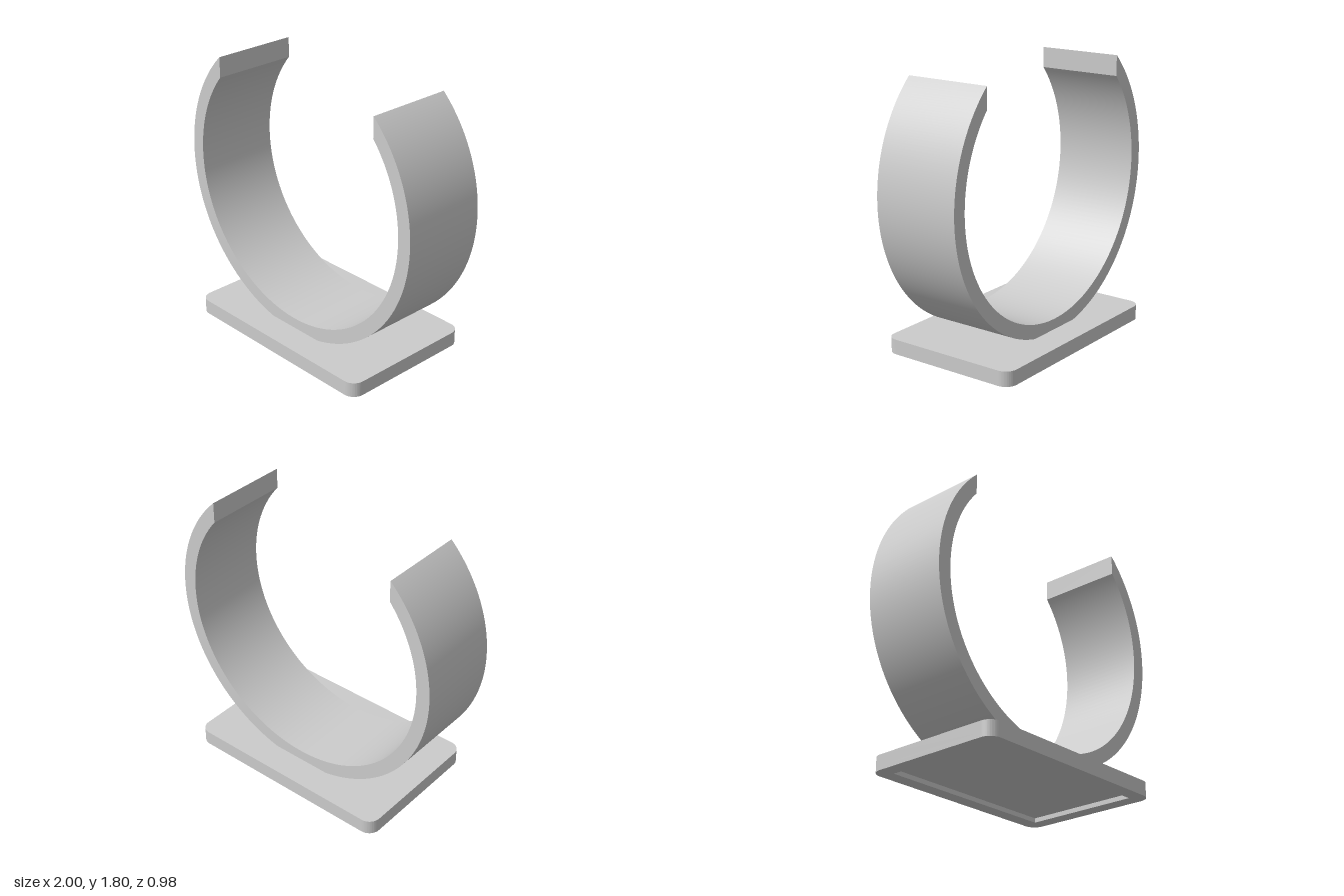
import * as THREE from 'three';
import { toCreasedNormals } from 'three/addons/utils/BufferGeometryUtils.js';

const material = new THREE.MeshStandardMaterial({ color: 0xcccccc });

function extruded(name, shape, depth) {
  const geometry = new THREE.ExtrudeGeometry(shape, { depth, bevelEnabled: false, curveSegments: 64 });
  const mesh = new THREE.Mesh(toCreasedNormals(geometry, 0.2), material);
  mesh.name = name;
  return mesh;
}

// Rectangle with rounded corners, centred on the origin
function roundedRect(w, d, r) {
  const x = w / 2 - r, y = d / 2 - r;
  const s = new THREE.Shape();
  s.absarc(x, y, r, 0, Math.PI / 2);
  s.absarc(-x, y, r, Math.PI / 2, Math.PI);
  s.absarc(-x, -y, r, Math.PI, Math.PI * 1.5);
  s.absarc(x, -y, r, Math.PI * 1.5, Math.PI * 2);
  s.closePath();
  return s;
}

export function createModel() {
  const group = new THREE.Group();
  const width = 1.5, depth = 0.98, height = 0.1, corner = 0.08;
  const margin = 0.1, recess = 0.03;

  // Base: solid plate above a rim that surrounds the shallow underside recess
  const base = new THREE.Group();
  base.name = 'base';
  const plate = extruded('basePlate', roundedRect(width, depth, corner), height - recess);
  plate.position.z = recess;
  const rimShape = roundedRect(width, depth, corner);
  const hx = width / 2 - margin, hz = depth / 2 - margin;
  rimShape.holes.push(new THREE.Path([
    new THREE.Vector2(-hx, -hz), new THREE.Vector2(-hx, hz),
    new THREE.Vector2(hx, hz), new THREE.Vector2(hx, -hz),
  ]));
  base.add(plate, extruded('baseRim', rimShape, recess));
  base.rotation.x = -Math.PI / 2;
  group.add(base);

  // Open ring: vertical cuts at the two tips, flat where it meets the base
  const outer = 1, inner = 0.905, centreY = 1.077, tipX = 0.69, band = 0.59;
  const foot = Math.asin((height - centreY) / outer);
  const outerTip = Math.acos(tipX / outer), innerTip = Math.acos(tipX / inner);
  const ring = new THREE.Shape();
  ring.absarc(0, centreY, outer, foot, outerTip, false);
  ring.absarc(0, centreY, inner, innerTip, Math.PI - innerTip, true);
  ring.absarc(0, centreY, outer, Math.PI - outerTip, Math.PI - foot, false);
  ring.closePath();
  const ringMesh = extruded('openRing', ring, band);
  ringMesh.position.z = -band / 2;
  group.add(ringMesh);

  return group;
}
